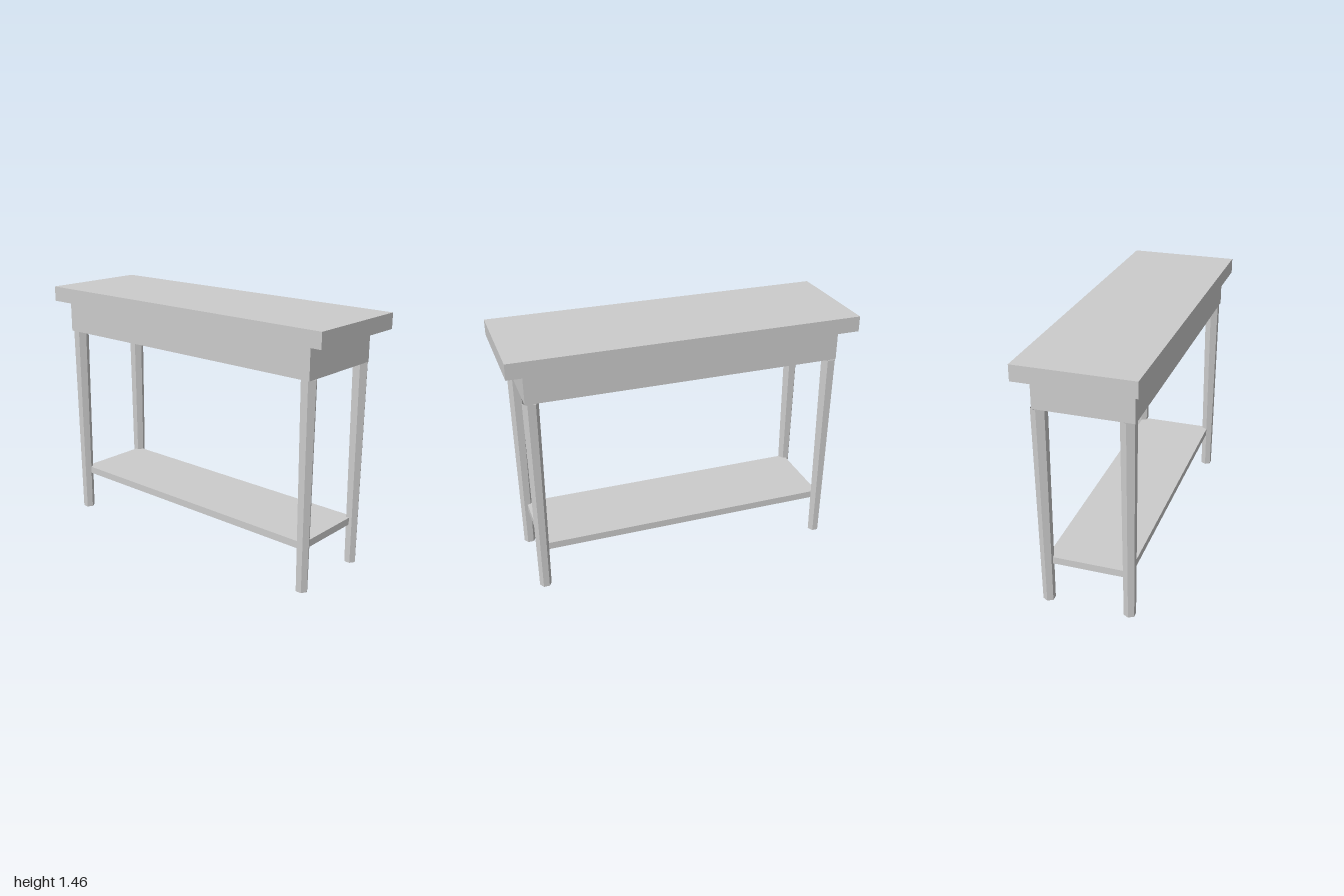
import * as THREE from 'three';

export function createModel() {
  const table = new THREE.Group();
  table.name = 'consoleTable';

  const grey = new THREE.MeshStandardMaterial({ color: 0xcccccc, side: THREE.DoubleSide });
  grey.name = 'plain grey';

  // Box spanning y0..y1
  const slab = (name, width, depth, y0, y1, z = 0) => {
    const mesh = new THREE.Mesh(new THREE.BoxGeometry(width, y1 - y0, depth), grey);
    mesh.name = name;
    mesh.position.set(0, (y0 + y1) / 2, z);
    table.add(mesh);
  };

  const legX = 0.872, legZ = 0.236, legHeight = 1.185;

  slab('tableTop', 2, 0.65, 1.367, 1.456);
  slab('apron', 1.812, 0.544, legHeight, 1.367, 0.009);
  slab('shelf', legX * 2, legZ * 2, 0.237, 0.279);

  // Tapered six-sided legs, open at the ends, with corners pointing along x
  const legGeometry = new THREE.CylinderGeometry(0.045, 0.0345, legHeight, 6, 1, true, Math.PI / 2)
    .toNonIndexed();
  legGeometry.computeVertexNormals();
  for (const [side, sx] of [['Left', 1], ['Right', -1]]) {
    for (const [end, sz] of [['front', 1], ['back', -1]]) {
      const leg = new THREE.Mesh(legGeometry, grey);
      leg.name = `${end}${side}Leg`;
      leg.position.set(sx * legX, legHeight / 2, sz * legZ);
      table.add(leg);
    }
  }

  return table;
}
